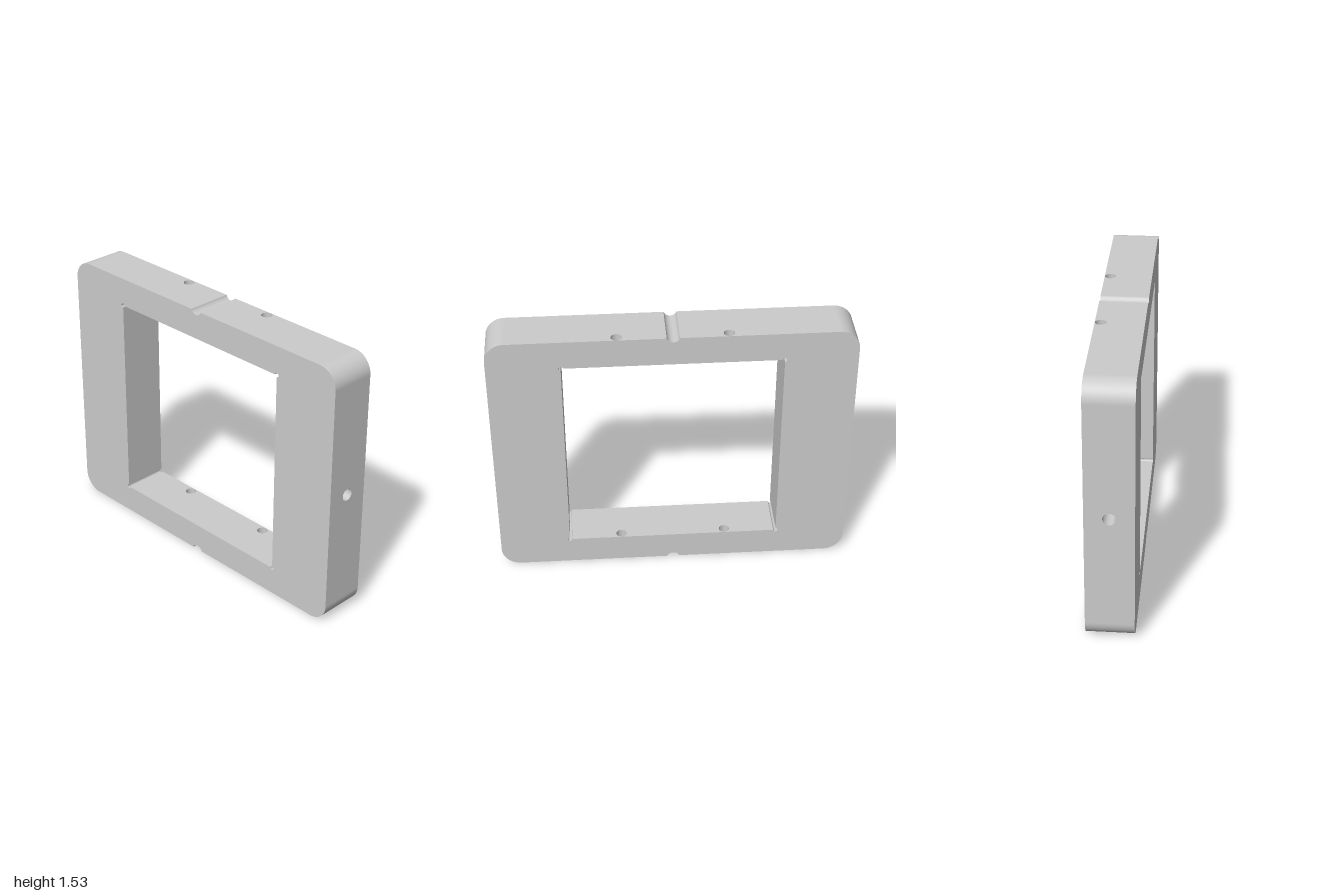
import * as THREE from 'three';

const PI = Math.PI;
const A = 1, B = 0.765, D = 0.132;        // half width, height and depth
const R = 0.11;                           // outer corner radius
const W = 0.6, RELIEF = 0.013;            // half window, corner relief radius
const NR = 0.037, NC = 0.012;             // notch radius, centre offset outside the edge
const PHI = Math.asin(NC / NR), N = NR * Math.cos(PHI);
const PIN = { x: 0.3, z: -0.1, r: 0.03 }; // vertical through holes
const SIDE = { r: 0.035, depth: 0.2 };    // blind side holes
const SEG = 24;

const solid = new THREE.MeshStandardMaterial({ color: 0xcccccc });
const inner = new THREE.MeshStandardMaterial({ color: 0xcccccc, side: THREE.DoubleSide });

export function createModel() {
  const group = new THREE.Group();
  const body = new THREE.Group();
  body.position.y = B;
  group.add(body);

  const add = (name, geometry, material = solid) => {
    const mesh = new THREE.Mesh(geometry, material);
    mesh.name = name;
    body.add(mesh);
    return mesh;
  };

  // Curved wall along z, covering angles a to a + sweep around (x, y)
  const arcWall = (name, x, y, r, a, sweep, material) => {
    const g = new THREE.CylinderGeometry(r, r, 2 * D, SEG, 1, true, a + PI / 2, sweep);
    add(name, g.rotateX(PI / 2).translate(x, y, 0), material);
  };

  // Flat wall along z from p to q, facing right of travel; holes are [x, y, z, r]
  const flatWall = (name, p, q, holes = []) => {
    const dx = q[0] - p[0], dy = q[1] - p[1], len = Math.hypot(dx, dy);
    const dir = new THREE.Vector3(dx / len, dy / len, 0), z = new THREE.Vector3(0, 0, 1);
    const shape = new THREE.Shape();
    shape.moveTo(0, -D).lineTo(len, -D).lineTo(len, D).lineTo(0, D).closePath();
    for (const [hx, hy, hz, r] of holes) {
      const u = (hx - p[0]) * dir.x + (hy - p[1]) * dir.y;
      shape.holes.push(new THREE.Path().absarc(u, hz, r, 0, 2 * PI, true));
    }
    const m = new THREE.Matrix4().makeBasis(dir, z, dir.clone().cross(z));
    m.setPosition(p[0], p[1], 0);
    add(name, new THREE.ShapeGeometry(shape, SEG).applyMatrix4(m));
  };

  // Front and back faces: rounded outline with two notches and a relieved window
  const face = new THREE.Shape();
  const opening = new THREE.Path();
  for (let i = 0; i < 4; i++) {
    const sx = i === 0 || i === 3 ? 1 : -1, sy = i < 2 ? 1 : -1, a = i * PI / 2;
    face.absarc(sx * (A - R), sy * (B - R), R, a, a + PI / 2, false);
    if (i === 0) face.absarc(0, B + NC, NR, -PHI, -PI + PHI, true);
    if (i === 2) face.absarc(0, -B - NC, NR, PI - PHI, PHI, true);
    opening.absarc(sx * W, sy * W, RELIEF, a - PI / 2, a + PI, false);
    arcWall('outerCorner', sx * (A - R), sy * (B - R), R, a, PI / 2);
    arcWall('windowCornerRelief', sx * W, sy * W, RELIEF, a - PI / 2, 1.5 * PI, inner);
  }
  face.closePath();
  opening.closePath();
  face.holes.push(opening);
  add('frontFace', new THREE.ShapeGeometry(face, SEG).translate(0, 0, D));
  add('backFace', new THREE.ShapeGeometry(face, SEG).rotateY(PI).translate(0, 0, -D));

  // Notches in the top and bottom edges
  arcWall('topNotch', 0, B + NC, NR, -PI + PHI, PI - 2 * PHI, inner);
  arcWall('bottomNotch', 0, -B - NC, NR, PHI, PI - 2 * PHI, inner);

  const w = W - RELIEF;
  for (const s of [1, -1]) {
    const pin = y => [s * PIN.x, y, PIN.z, PIN.r];
    const ends = [[s * N, B], [s * (A - R), B]];
    const low = ends.map(([x]) => [x, -B]);
    if (s > 0) ends.reverse(); else low.reverse();

    // Outer edges
    flatWall('topEdge', ends[0], ends[1], [pin(B)]);
    flatWall('bottomEdge', low[0], low[1], [pin(-B)]);
    flatWall('sideEdge', [s * A, -s * (B - R)], [s * A, s * (B - R)], [[s * A, 0, 0, SIDE.r]]);

    // Window walls
    flatWall('windowRail', [-s * w, s * W], [s * w, s * W],
      [-1, 1].map(k => [k * PIN.x, s * W, PIN.z, PIN.r]));
    flatWall('windowSide', [s * W, s * w], [s * W, -s * w]);

    // Bores of the vertical holes
    for (const k of [1, -1]) {
      const bore = new THREE.CylinderGeometry(PIN.r, PIN.r, B - W, SEG * 2, 1, true);
      add('pinHole', bore.translate(s * PIN.x, k * (B + W) / 2, PIN.z), inner);
    }

    // Blind side hole with a flat bottom
    const bore = new THREE.CylinderGeometry(SIDE.r, SIDE.r, SIDE.depth, SEG * 2, 1, true);
    add('sideHole', bore.rotateZ(PI / 2).translate(s * (A - SIDE.depth / 2), 0, 0), inner);
    const floor = new THREE.CircleGeometry(SIDE.r, SEG * 2).rotateY(s * PI / 2);
    add('sideHoleFloor', floor.translate(s * (A - SIDE.depth), 0, 0));
  }
  return group;
}
